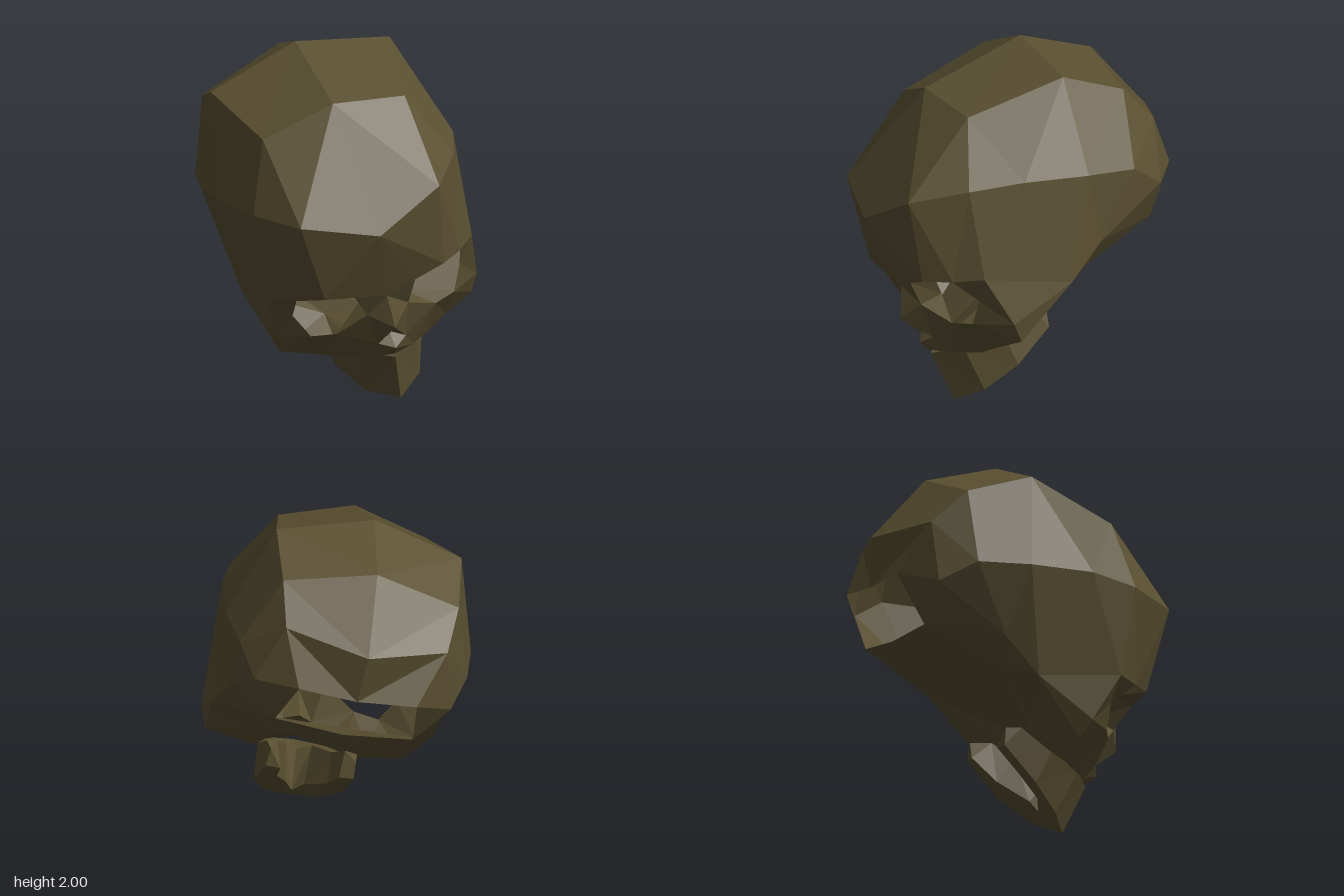
import * as THREE from 'three';

// The head is turned and tilted: its plane of symmetry has this normal and offset
const LATERAL = new THREE.Vector3(0.857, 0.218, 0.466).normalize();
const OFFSET = 0.246;
const v = (x, y, z) => new THREE.Vector3(x, y, z);
const shift = (p, k) => p.clone().addScaledVector(LATERAL, k * (LATERAL.dot(p) - OFFSET));
const mirror = (p) => shift(p, -2);
const mid = (x, y, z) => shift(v(x, y, z), -1); // point snapped onto the symmetry plane

const material = new THREE.MeshStandardMaterial({
  color: 0x5a5031, flatShading: true, side: THREE.DoubleSide,
});

// Flat-shaded mesh from left-half polygons plus their mirror images
function mirroredMesh(name, polygons) {
  const points = [];
  polygons.forEach((poly) => {
    for (let i = 1; i < poly.length - 1; i++) {
      const t = [poly[0], poly[i], poly[i + 1]];
      if (new Set(t).size === 3) points.push(...t, ...t.map(mirror).reverse());
    }
  });
  const geo = new THREE.BufferGeometry().setFromPoints(points);
  geo.computeVertexNormals();
  const mesh = new THREE.Mesh(geo, material);
  mesh.name = name;
  return mesh;
}

// Quads between two rows of points
const strip = (a, b) => a.slice(1).map((p, i) => [p, a[i], b[i], b[i + 1]]);

export function createModel() {
  // Vault rows, each running from forehead to back of head
  const crown = [
    mid(-0.45, 1.135, 0.82), mid(-0.36, 1.81, 0.35), mid(-0.1, 2.0, -0.22),
    mid(0.125, 1.85, -0.59), mid(0.38, 1.47, -0.8), mid(0.39, 1.18, -0.76),
  ];
  const upper = [
    v(-0.065, 1.375, 0.917), v(0.06, 1.8, 0.51), v(0.4, 1.975, 0.045),
    v(0.585, 1.825, -0.285), v(0.68, 1.61, -0.45), v(0.69, 1.28, -0.59),
  ];
  const side = [
    v(0.234, 1.46, 0.733), v(0.46, 1.495, 0.5), v(0.67, 1.47, 0.165),
    v(0.78, 1.43, -0.13), v(0.82, 1.28, -0.33), upper[5],
  ];

  // Landmarks of the temple and the base
  const p = {
    temple: v(0.36, 0.945, 0.755), cheek: v(0.5, 0.66, 0.655), cheekLow: v(0.51, 0.535, 0.6),
    ear: v(0.665, 0.85, 0.32), earBack: v(0.71, 1.04, 0.095), nape: v(0.71, 1.02, -0.38),
    napeMid: mid(0.37, 0.9, -0.58), base: v(0.6, 0.855, 0.1), baseMid: mid(0.17, 0.74, -0.14),
    palate: v(0.27, 0.55, 0.32), palateMid: mid(0, 0.5, 0.3),
  };
  // Landmarks of the eye socket rim
  Object.assign(p, {
    brow0: v(-0.14, 0.8, 0.795), brow1: v(0.01, 0.885, 0.88), brow2: v(0.19, 0.91, 0.83),
    rim1: v(-0.12, 0.64, 0.72), rim2: v(0.1, 0.585, 0.72), rim3: v(0.25, 0.62, 0.72),
    rim4: v(0.295, 0.78, 0.72), deepTop: v(-0.06, 0.83, 0.68), deepLow: v(-0.06, 0.68, 0.6),
  });
  // Landmarks of the nose and upper jaw, and names for the vault's front and side rows
  Object.assign(p, {
    noseRoot: mid(-0.28, 0.71, 0.7), noseTip: mid(-0.25, 0.52, 0.74),
    nostril: v(-0.08, 0.42, 0.66), noseBase: mid(-0.18, 0.36, 0.66), noseDeep: mid(-0.16, 0.44, 0.58),
    maxMid: mid(-0.13, 0.31, 0.62), max1: v(0.02, 0.335, 0.615),
    max2: v(0.2, 0.365, 0.565), max3: v(0.33, 0.44, 0.575),
    m2: crown[0], u2: upper[0],
    s2: side[0], s3: side[1], s4: side[2], s5: side[3], s6: side[4], s7: side[5],
  });
  const faces = (list) => list.map((s) => s.split(' ').map((n) => p[n]));

  const skull = new THREE.Group();
  skull.name = 'skull';

  // Domed vault with forehead and temples
  skull.add(mirroredMesh('cranium', [
    ...strip(crown, upper), ...strip(upper, side),
    ...faces([
      'm2 noseRoot brow0', 'm2 brow0 brow1 u2', 'u2 brow1 brow2 s2', 's2 brow2 temple',
      's2 temple s3', 's3 temple ear', 's3 ear s4', 's4 ear earBack', 's4 earBack s5',
      's5 earBack s6', 'earBack nape s6', 's6 nape s7',
      'temple cheek ear', 'cheek cheekLow ear',
    ]),
  ]));

  // Underside, leaving a wide opening at the nape
  skull.add(mirroredMesh('skullBase', faces([
    'earBack base nape', 'ear base earBack', 'nape base baseMid', 'nape baseMid napeMid',
    'ear palate base', 'ear cheekLow palate', 'base palate palateMid baseMid',
    'cheekLow max3 palate', 'max3 max2 palate', 'palate max2 max1',
    'palate max1 maxMid', 'palate maxMid palateMid',
  ])));

  // Cheekbones, nose and upper jaw around open eye sockets
  skull.add(mirroredMesh('face', faces([
    'brow2 rim4 temple', 'temple rim4 cheek', 'rim4 rim3 cheek', 'rim3 cheekLow cheek',
    'rim3 max3 cheekLow', 'rim3 rim2 max3', 'rim2 max2 max3', 'rim2 max1 max2',
    'rim2 nostril max1', 'rim1 nostril rim2', 'rim1 noseTip nostril', 'noseRoot noseTip rim1',
    'noseRoot rim1 brow0', 'noseBase maxMid max1 nostril',
  ])));
  skull.add(mirroredMesh('eyeSocketWall', faces([
    'brow0 rim1 deepLow deepTop', 'brow0 deepTop brow1', 'rim1 rim2 deepLow',
  ])));
  skull.add(mirroredMesh('noseCavity', faces([
    'noseTip noseDeep nostril', 'nostril noseDeep noseBase',
  ])));

  // Lower jaw: four-cornered sections from chin to the end of the arm
  const sections = [
    [mid(-0.12, 0.29, 0.62), mid(-0.015, 0, 0.546), mid(0.06, 0.1, 0.4), mid(-0.04, 0.3, 0.5)],
    [v(0.08, 0.37, 0.58), v(0.18, 0.1, 0.51), v(0.1, 0.17, 0.38), v(0.02, 0.36, 0.49)],
    [v(0.26, 0.44, 0.43), v(0.325, 0.25, 0.38), v(0.245, 0.29, 0.26), v(0.17, 0.44, 0.34)],
    [v(0.33, 0.546, 0.24), v(0.39, 0.43, 0.17), v(0.32, 0.41, 0.12), v(0.26, 0.53, 0.23)],
  ];
  const tip = v(0.36, 0.53, 0.155);
  const jaw = [];
  for (let k = 0; k < 4; k++) {
    const n = (k + 1) % 4;
    for (let i = 0; i < 3; i++) {
      const a = sections[i], b = sections[i + 1];
      jaw.push([a[k], a[n], b[n], b[k]]);
    }
    jaw.push([sections[3][k], sections[3][n], tip]);
  }
  skull.add(mirroredMesh('lowerJaw', jaw));
  return skull;
}
